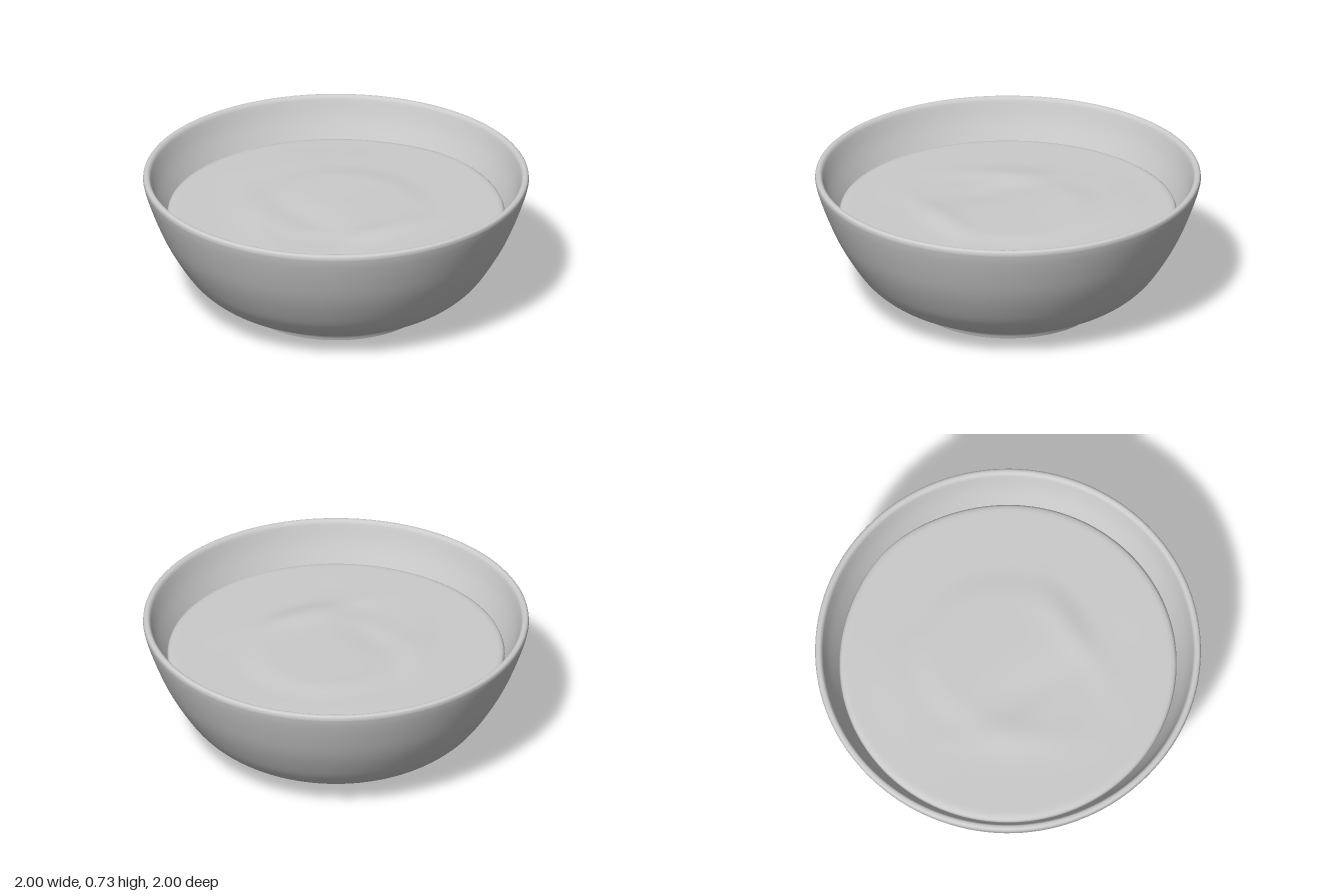
import * as THREE from 'three';

const grey = (side = THREE.FrontSide) => new THREE.MeshStandardMaterial({ color: 0xcccccc, side });
const toPoints = (list) => list.map(([x, y]) => new THREE.Vector2(x, y));
const smooth = (list, steps) => new THREE.SplineCurve(toPoints(list)).getPoints(steps);

// Bowl shell: outer wall, rounded rim and inner wall in one lathe profile
function createBowl() {
  const outer = smooth([
    [0.47, 0], [0.485, 0.03], [0.53, 0.06], [0.62, 0.093], [0.70, 0.145], [0.77, 0.215],
    [0.84, 0.32], [0.90, 0.43], [0.95, 0.55], [0.985, 0.65], [0.998, 0.70],
  ], 48);
  const rim = smooth([[0.998, 0.70], [0.996, 0.717], [0.985, 0.725], [0.97, 0.723], [0.96, 0.71]], 12);
  const inner = smooth([
    [0.96, 0.71], [0.93, 0.62], [0.885, 0.52], [0.835, 0.42], [0.77, 0.31],
    [0.70, 0.22], [0.60, 0.155], [0.40, 0.115], [0, 0.105],
  ], 40);
  const profile = [...outer, ...rim.slice(1), ...inner.slice(1)];
  const bowl = new THREE.Mesh(new THREE.LatheGeometry(profile, 128), grey());
  bowl.name = 'bowl';
  return bowl;
}

// Flat underside of the foot
function createFoot() {
  const foot = new THREE.Mesh(new THREE.CircleGeometry(0.47, 128).rotateX(Math.PI / 2), grey());
  foot.name = 'footBase';
  return foot;
}

// Gentle stirred relief of the filling: a low plateau with soft ridges
function relief(x, z) {
  const bump = (cx, cz, sx, sz, turn) => {
    const c = Math.cos(turn), s = Math.sin(turn);
    const u = ((x - cx) * c + (z - cz) * s) / sx;
    const v = (-(x - cx) * s + (z - cz) * c) / sz;
    return Math.exp(-u * u - v * v);
  };
  const plateau = 1 - THREE.MathUtils.smoothstep(Math.hypot(x - 0.05, z), 0.32, 0.5);
  return 0.012 * plateau
    + 0.014 * bump(-0.3, -0.28, 0.26, 0.09, -0.8)
    + 0.012 * bump(-0.12, 0.36, 0.3, 0.08, 0.2)
    - 0.012 * bump(-0.22, -0.02, 0.12, 0.3, 0.2)
    + 0.008 * bump(0.3, -0.45, 0.3, 0.2, 0.5);
}

// Filling: a disc with a rolled edge that drops down against the inner wall
function createFilling() {
  const profile = [];
  for (let i = 0; i <= 40; i++) profile.push([0.84 * i / 40, 0.53]);
  profile.push([0.858, 0.527], [0.868, 0.52], [0.873, 0.508], [0.868, 0.485], [0.84, 0.435]);
  const geometry = new THREE.LatheGeometry(toPoints(profile.reverse()), 128);
  const position = geometry.attributes.position;
  for (let i = 0; i < position.count; i++) {
    const x = position.getX(i), z = position.getZ(i);
    const r = Math.hypot(x, z);
    // The edge bulges a little towards the left side
    const angle = Math.atan2(z, x);
    const bulge = 1 + 0.018 * Math.exp(-((angle / 0.3) ** 2)) * THREE.MathUtils.smoothstep(r, 0.6, 0.87);
    const fade = 1 - THREE.MathUtils.smoothstep(r, 0.65, 0.87);
    position.setXYZ(i, x * bulge, position.getY(i) + relief(x, z) * fade, z * bulge);
  }
  geometry.computeVertexNormals();
  // Match normals along the lathe seam
  const normal = geometry.attributes.normal;
  const rows = profile.length, last = 128 * rows;
  for (let j = 0; j < rows; j++) {
    const n = new THREE.Vector3().fromBufferAttribute(normal, j)
      .add(new THREE.Vector3().fromBufferAttribute(normal, last + j)).normalize();
    normal.setXYZ(j, n.x, n.y, n.z);
    normal.setXYZ(last + j, n.x, n.y, n.z);
  }
  // One shared upright normal at the centre
  for (let i = rows - 1; i < normal.count; i += rows) normal.setXYZ(i, 0, 1, 0);
  const filling = new THREE.Mesh(geometry, grey(THREE.DoubleSide));
  filling.name = 'filling';
  return filling;
}

export function createModel() {
  const model = new THREE.Group();
  model.name = 'filledBowl';
  model.add(createBowl(), createFoot(), createFilling());
  return model;
}
